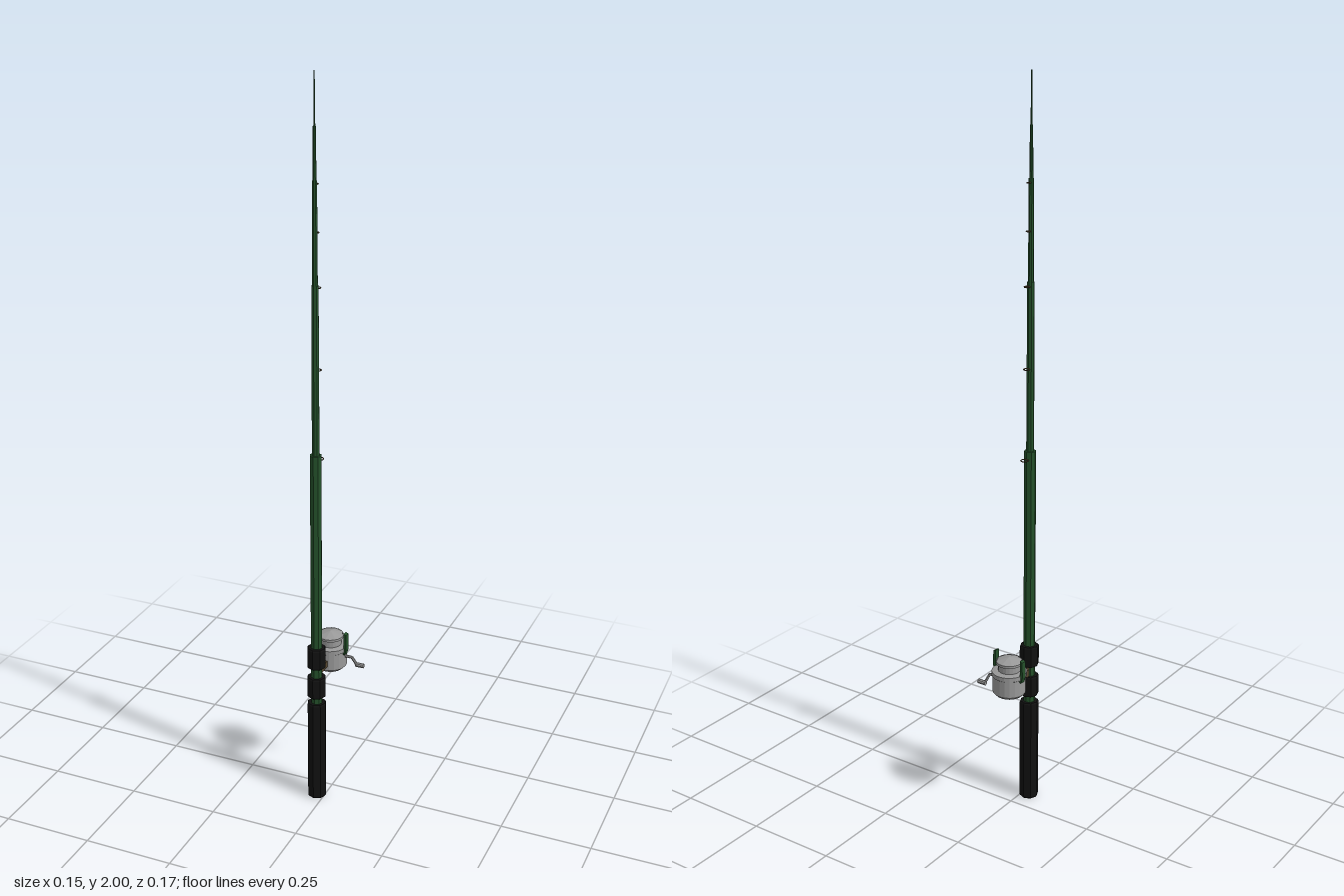
import * as THREE from 'three';

const mat = (color) => new THREE.MeshStandardMaterial({ color, flatShading: true, side: THREE.DoubleSide });

export function createModel() {
  const root = new THREE.Group();
  const green = mat(0x24502a), black = mat(0x111111), grey = mat(0x999999), brown = mat(0x57472f);

  const add = (parent, name, geometry, material, x = 0, y = 0, z = 0) => {
    const mesh = new THREE.Mesh(geometry, material);
    mesh.name = name;
    mesh.position.set(x, y, z);
    parent.add(mesh);
    return mesh;
  };
  const lathe = (pts, sides) => new THREE.LatheGeometry(pts.map(([r, y]) => new THREE.Vector2(r, y)), sides);
  const tube = (pts, radius, sides = 6) => {
    const path = new THREE.CurvePath();
    const v = pts.map((p) => new THREE.Vector3(...p));
    for (let i = 1; i < v.length; i++) path.add(new THREE.LineCurve3(v[i - 1], v[i]));
    return new THREE.TubeGeometry(path, (v.length - 1) * 4, radius, sides, false);
  };

  // Rod: stepped telescopic blank
  const rod = new THREE.Group();
  rod.name = 'rod';
  rod.position.set(-0.021, 0, 0.058);
  root.add(rod);
  add(rod, 'blank', lathe([
    [0, 0.02], [0.016, 0.02], [0.016, 1.03], [0.0105, 1.03], [0.0095, 1.48],
    [0.0075, 1.48], [0.0065, 1.74], [0.005, 1.74], [0.004, 1.87], [0.0025, 1.87], [0.0015, 2], [0, 2],
  ], 8), green);

  // Handle grip and the two reel seat grips, with small chamfers
  for (const [name, y0, y1] of [['handleGrip', 0, 0.3], ['lowerSeatGrip', 0.32, 0.38], ['upperSeatGrip', 0.41, 0.47]]) {
    add(rod, name, lathe([[0, y0], [0.024, y0], [0.0265, y0 + 0.004], [0.0265, y1 - 0.004], [0.024, y1], [0, y1]], 8), black);
  }

  // Line guides: flat rings standing off the back of the rod
  for (const [y, r, rodR] of [[1.01, 0.01, 0.016], [1.255, 0.008, 0.01], [1.47, 0.0075, 0.0095], [1.61, 0.0055, 0.007], [1.73, 0.0045, 0.0065]]) {
    const ring = new THREE.TorusGeometry(r, 0.0015, 5, 12).rotateX(Math.PI / 2);
    add(rod, 'lineGuide', ring, brown, 0, y, -rodR - r);
  }

  // Reel foot and stem joining reel to rod
  add(rod, 'reelFoot', new THREE.BoxGeometry(0.016, 0.07, 0.008), brown, 0, 0.395, -0.018);
  add(rod, 'reelStem', new THREE.BoxGeometry(0.018, 0.018, 0.05), brown, 0, 0.392, -0.04);

  // Reel body and spool
  const reel = new THREE.Group();
  reel.name = 'reel';
  reel.position.set(-0.021, 0, -0.038);
  root.add(reel);
  add(reel, 'reelBody', lathe([
    [0, 0.362], [0.036, 0.362], [0.045, 0.371], [0.045, 0.418], [0.048, 0.42], [0.048, 0.432], [0.036, 0.434], [0, 0.434],
  ], 20), grey);
  add(reel, 'spool', lathe([[0.03, 0.43], [0.03, 0.452], [0.036, 0.454], [0.036, 0.461], [0.034, 0.463]], 20), grey);
  add(reel, 'spoolCap', new THREE.ConeGeometry(0.035, 0.01, 8), grey, 0, 0.467, 0);

  // Curved bail arms on opposite sides of the body
  const arm = new THREE.Shape();
  arm.moveTo(0.036, 0.412);
  arm.lineTo(0.049, 0.412);
  arm.lineTo(0.055, 0.43);
  arm.lineTo(0.054, 0.475);
  arm.lineTo(0.046, 0.478);
  arm.lineTo(0.046, 0.435);
  arm.lineTo(0.036, 0.425);
  const armGeo = new THREE.ExtrudeGeometry(arm, { depth: 0.013, bevelEnabled: false }).translate(0, 0, -0.0065);
  for (const turn of [0, Math.PI]) add(reel, 'bailArm', armGeo, green).rotation.y = turn - 0.17;

  // Crank with its knob
  add(reel, 'crank', tube([[0.04, 0.402, 0], [0.064, 0.402, 0], [0.074, 0.378, -0.008], [0.08, 0.376, -0.01]], 0.004), grey);
  add(reel, 'crankKnob', new THREE.CylinderGeometry(0.0065, 0.0065, 0.024, 8).rotateZ(Math.PI / 2), grey, 0.083, 0.376, -0.01);

  return root;
}
